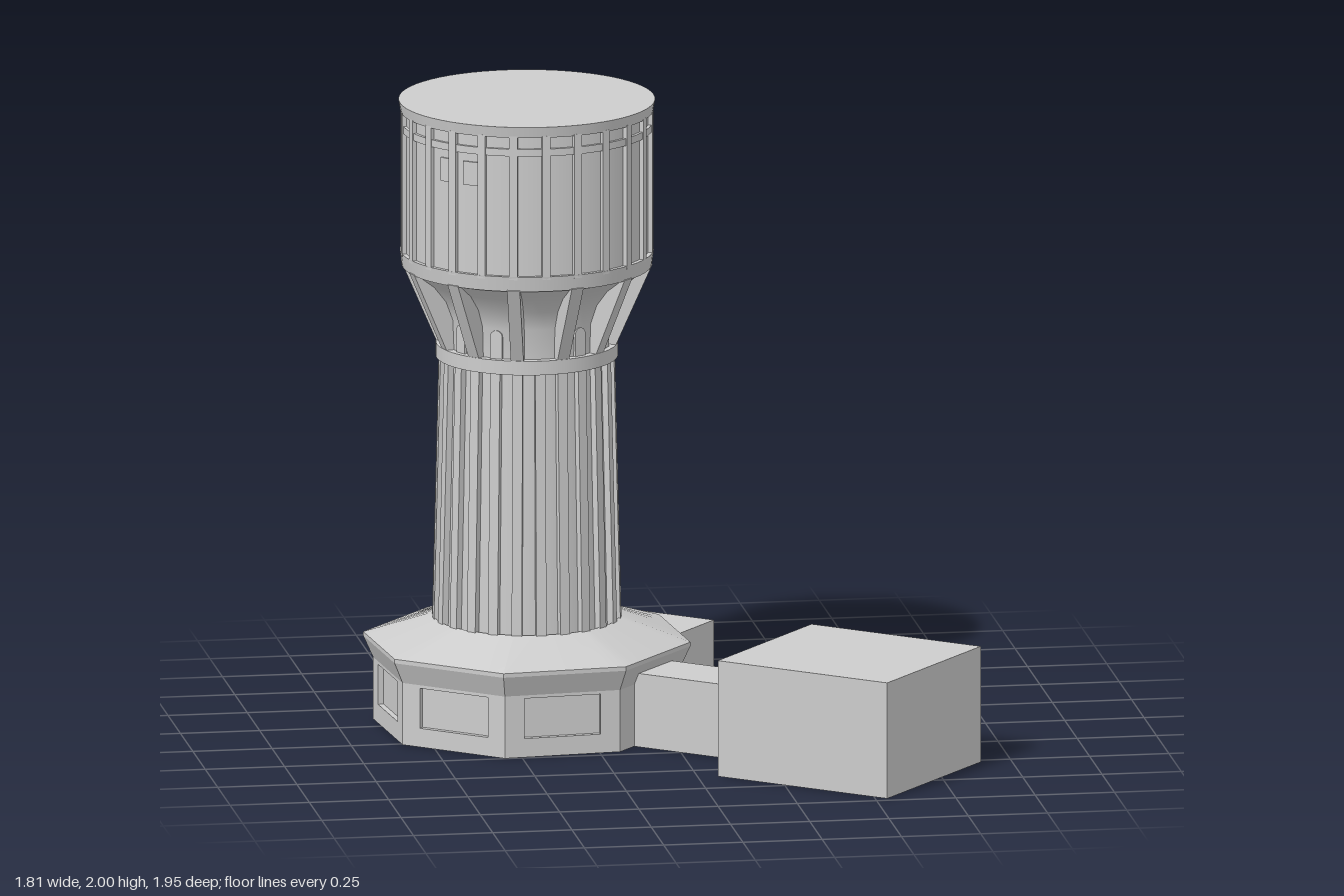
import * as THREE from 'three';

const DEG = Math.PI / 180;

export function createModel() {
  const model = new THREE.Group();
  model.name = 'waterTower';
  const concrete = new THREE.MeshStandardMaterial({ color: 0xcccccc });
  concrete.name = 'concrete';

  const add = (parent, name, geometry, x = 0, y = 0, z = 0) => {
    const mesh = new THREE.Mesh(geometry, concrete);
    mesh.name = name;
    mesh.position.set(x, y, z);
    parent.add(mesh);
    return mesh;
  };
  // Group turned so that its local +x points outward at the given angle (x towards z)
  const turned = (parent, name, degrees) => {
    const g = new THREE.Group();
    g.name = name;
    g.rotation.y = -degrees * DEG;
    parent.add(g);
    return g;
  };
  const flat = (geometry) => {
    const g = geometry.toNonIndexed();
    g.computeVertexNormals();
    return g;
  };
  const cyl = (rTop, rBottom, y0, y1, sides = 64) =>
    new THREE.CylinderGeometry(rTop, rBottom, y1 - y0, sides, 1, false, sides === 8 ? Math.PI / 8 : 0)
      .translate(0, (y0 + y1) / 2, 0);

  const tower = new THREE.Group();
  tower.name = 'tower';
  tower.position.set(-0.413, 0, -0.215);
  model.add(tower);

  // Octagonal base, turned so one side faces the corridor
  const base = turned(tower, 'base', 39.5);
  const apothem = 0.447, wallH = 0.2, half = apothem * Math.tan(Math.PI / 8);
  const inner = (apothem - 0.018) / Math.cos(Math.PI / 8);
  add(base, 'baseCore', flat(cyl(inner, inner, 0, wallH, 8)));
  for (let i = 0; i < 8; i++) {
    const side = turned(base, 'baseSide', i * 45);
    const wall = new THREE.Shape([
      new THREE.Vector2(-half, 0), new THREE.Vector2(half, 0),
      new THREE.Vector2(half, wallH), new THREE.Vector2(-half, wallH),
    ]);
    // Sides 0 and 6 carry the corridor and the annex, the rest have a recessed panel
    if (i !== 0 && i !== 6) {
      wall.holes.push(new THREE.Path([
        new THREE.Vector2(-0.123, 0.06), new THREE.Vector2(-0.123, 0.188),
        new THREE.Vector2(0.123, 0.188), new THREE.Vector2(0.123, 0.06),
      ]));
    }
    const geo = new THREE.ExtrudeGeometry(wall, { depth: 0.02, bevelEnabled: false });
    geo.translate(0, 0, apothem - 0.02).rotateY(Math.PI / 2);
    add(side, 'baseWall', geo);
  }
  add(base, 'cornice', flat(cyl(0.515, 0.484, 0.198, 0.265, 8)));
  add(base, 'eave', flat(cyl(0.515, 0.515, 0.265, 0.278, 8)));

  // Roof blends from the octagon to a circle
  const roof = new THREE.CylinderGeometry(0.29, 1, 0.072, 64, 1, true, Math.PI / 8);
  const p = roof.attributes.position;
  for (let i = 0; i < p.count; i++) {
    if (p.getY(i) > 0) continue;
    const a = Math.atan2(p.getX(i), p.getZ(i));
    const off = a - Math.round(a / (Math.PI / 4)) * (Math.PI / 4);
    const r = 0.515 * Math.cos(Math.PI / 8) / Math.cos(off);
    p.setX(i, r * Math.sin(a));
    p.setZ(i, r * Math.cos(a));
  }
  roof.computeVertexNormals();
  add(base, 'baseRoof', roof, 0, 0.314, 0);

  // Corridor, front block and rear annex
  const wing = turned(tower, 'wings', 39);
  add(wing, 'corridor', new THREE.BoxGeometry(0.48, 0.235, 0.204), 0.65, 0.1175, 0);
  add(wing, 'frontBlock', new THREE.BoxGeometry(0.61, 0.37, 0.582), 1.183, 0.185, 0.037);
  add(wing, 'annex', new THREE.BoxGeometry(0.397, 0.19, 0.42), 0, 0.095, -0.61);

  // Ribbed column
  add(tower, 'column', cyl(0.256, 0.276, 0.33, 1.2));
  for (let i = 0; i < 24; i++) {
    const spoke = turned(tower, 'columnRibSpoke', i * 15);
    add(spoke, 'columnRib', new THREE.BoxGeometry(0.03, 0.86, 0.032), 0.27, 0.765, 0).rotation.z = 0.024;
  }
  add(tower, 'columnRing', cyl(0.284, 0.284, 1.18, 1.225));

  // Flared funnel with supporting fins
  const funnel = [[0.258, 1.22], [0.262, 1.32], [0.285, 1.38], [0.325, 1.43], [0.385, 1.475]];
  add(tower, 'funnel', new THREE.LatheGeometry(funnel.map(([r, y]) => new THREE.Vector2(r, y)), 64));
  const fin = new THREE.Shape([[0.24, 1.22], [0.28, 1.22], [0.392, 1.475], [0.37, 1.49], [0.24, 1.4]]
    .map(([x, y]) => new THREE.Vector2(x, y)));
  const finGeo = new THREE.ExtrudeGeometry(fin, { depth: 0.04, bevelEnabled: false }).translate(0, 0, -0.02);

  // Arched door plates in the bays between fins
  const arch = new THREE.Shape();
  arch.moveTo(-0.02, 0);
  arch.lineTo(0.02, 0);
  arch.lineTo(0.02, 0.07);
  arch.absarc(0, 0.07, 0.02, 0, Math.PI, false);
  arch.lineTo(-0.02, 0);
  const doorGeo = new THREE.ExtrudeGeometry(arch, { depth: 0.009, bevelEnabled: false, curveSegments: 6 })
    .rotateY(Math.PI / 2);
  for (let i = 0; i < 12; i++) {
    add(turned(tower, 'finSpoke', 15 + i * 30), 'fin', finGeo);
    if (i % 3) add(turned(tower, 'doorSpoke', i * 30), 'door', doorGeo, 0.257, 1.225, 0);
  }

  // Drum with ribs, bands and top
  add(tower, 'drumLip', cyl(0.396, 0.39, 1.472, 1.52));
  add(tower, 'drum', cyl(0.382, 0.382, 1.5, 1.98));
  for (let i = 0; i < 24; i++) {
    const spoke = turned(tower, 'drumRibSpoke', i * 15);
    add(spoke, 'drumRib', new THREE.BoxGeometry(0.022, 0.46, 0.026), 0.384, 1.74, 0);
  }
  add(tower, 'drumBand', cyl(0.392, 0.392, 1.905, 1.928));
  add(tower, 'topRim', cyl(0.4, 0.394, 1.965, 2));

  // Two small windows high on the front of the drum
  for (const angle of [139, 126]) {
    const spoke = turned(tower, 'windowSpoke', angle);
    add(spoke, 'window', new THREE.BoxGeometry(0.009, 0.075, 0.05), 0.383, 1.84, 0);
  }
  return model;
}
